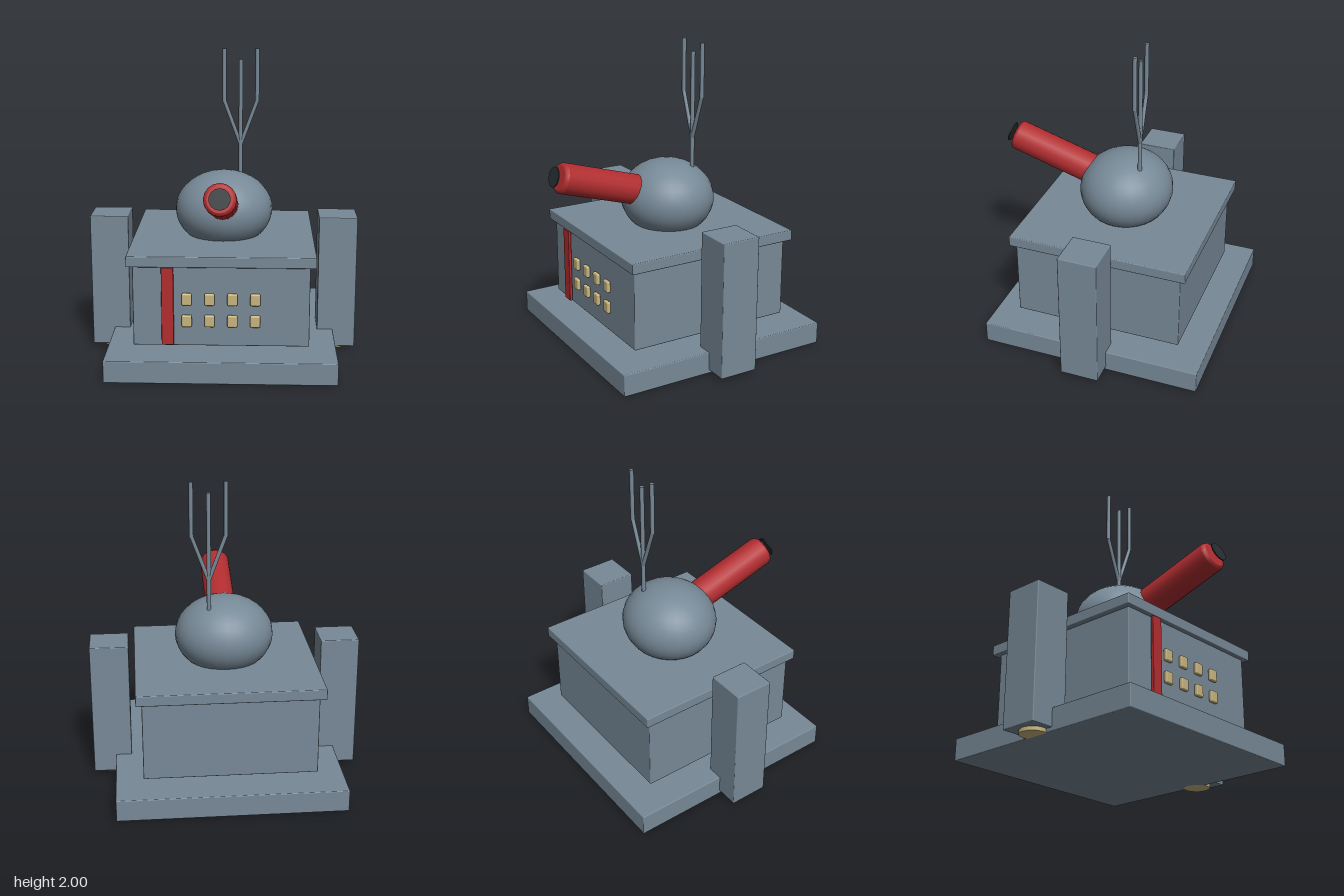
import * as THREE from 'three';
import { RoundedBoxGeometry } from 'three/addons/geometries/RoundedBoxGeometry.js';

const material = (name, color) => {
  const m = new THREE.MeshStandardMaterial({ color });
  m.name = name;
  return m;
};

export function createModel() {
  const model = new THREE.Group();
  const slate = material('slate', 0x778997);
  const red = material('red', 0xb22d30);
  const sand = material('sand', 0xc9b57f);
  const black = material('black', 0x262d30);

  const add = (name, geometry, mat, parent = model) => {
    const mesh = new THREE.Mesh(geometry, mat);
    mesh.name = name;
    parent.add(mesh);
    return mesh;
  };

  // Softly edged box given by its extents on each axis
  const box = (name, mat, [x0, x1], [y0, y1], [z0, z1], bevel = 0.006) => {
    const mesh = add(name, new RoundedBoxGeometry(x1 - x0, y1 - y0, z1 - z0, 2, bevel), mat);
    mesh.position.set((x0 + x1) / 2, (y0 + y1) / 2, (z0 + z1) / 2);
    return mesh;
  };

  // Round rod between two points
  const rod = (name, a, b, radius, parent) => {
    const from = new THREE.Vector3(...a), to = new THREE.Vector3(...b);
    const dir = to.clone().sub(from);
    const mesh = add(name, new THREE.CylinderGeometry(radius, radius, dir.length(), 10), slate, parent);
    mesh.position.copy(from).add(to).multiplyScalar(0.5);
    mesh.quaternion.setFromUnitVectors(new THREE.Vector3(0, 1, 0), dir.normalize());
  };

  // Base plate, body and lid
  box('basePlate', slate, [-0.735, 0.735], [0, 0.145], [-0.79, 0.68]);
  box('body', slate, [-0.558, 0.558], [0.19, 0.74], [-0.61, 0.508]);
  box('lid', slate, [-0.595, 0.595], [0.715, 0.785], [-0.65, 0.54]);

  // Side pillars with round feet
  for (const side of [-1, 1]) {
    const label = side > 0 ? 'left' : 'right';
    box(label + 'Pillar', slate, [side * 0.757 - 0.127, side * 0.757 + 0.127], [0.025, 0.92], [-0.18, 0.075]);
    add(label + 'Foot', new THREE.CylinderGeometry(0.088, 0.088, 0.025, 12), sand)
      .position.set(side * 0.757, 0.0125, -0.053);
  }

  // Front stripe and two rows of buttons
  box('frontStripe', red, [-0.375, -0.298], [0.205, 0.713], [0.52, 0.54], 0.004);
  for (const y of [0.36, 0.503]) {
    for (let i = 0; i < 4; i++) {
      const x = -0.217 + i * 0.144;
      box('button', sand, [x - 0.032, x + 0.032], [y - 0.039, y + 0.039], [0.508, 0.535], 0.01);
    }
  }

  // Flattened round turret
  const turret = add('turret', new THREE.SphereGeometry(1, 28, 20), slate);
  turret.scale.set(0.323, 0.256, 0.307);
  turret.position.set(0, 0.952, -0.053);

  // Tilted barrel; its local +y runs towards the muzzle, whose face is at the group origin
  const barrel = new THREE.Group();
  barrel.name = 'barrel';
  barrel.position.set(0, 1.201, 0.733);
  barrel.rotation.x = Math.PI / 2 - 0.295;
  model.add(barrel);
  const profile = [[0, -0.66], [0.101, -0.66], [0.101, -0.66], [0.101, -0.022], [0.101, -0.022],
    [0.094, -0.006], [0.08, 0], [0.08, 0], [0, 0]];
  add('barrelTube', new THREE.LatheGeometry(profile.map(p => new THREE.Vector2(...p)), 16), red, barrel);
  add('muzzle', new THREE.CylinderGeometry(0.066, 0.066, 0.008, 14), black, barrel).position.y = 0.034;

  // Three-pronged antenna
  const antenna = new THREE.Group();
  antenna.name = 'antenna';
  model.add(antenna);
  const ax = 0.107, az = -0.18;
  rod('antennaStem', [ax, 1.12, az], [ax, 1.93, az], 0.014, antenna);
  for (const side of [-1, 1]) {
    const x = ax + side * 0.109;
    rod('prongArm', [ax, 1.36, az], [x, 1.655, az], 0.013, antenna);
    rod('prong', [x, 1.65, az], [x, 2, az], 0.014, antenna);
  }
  return model;
}
